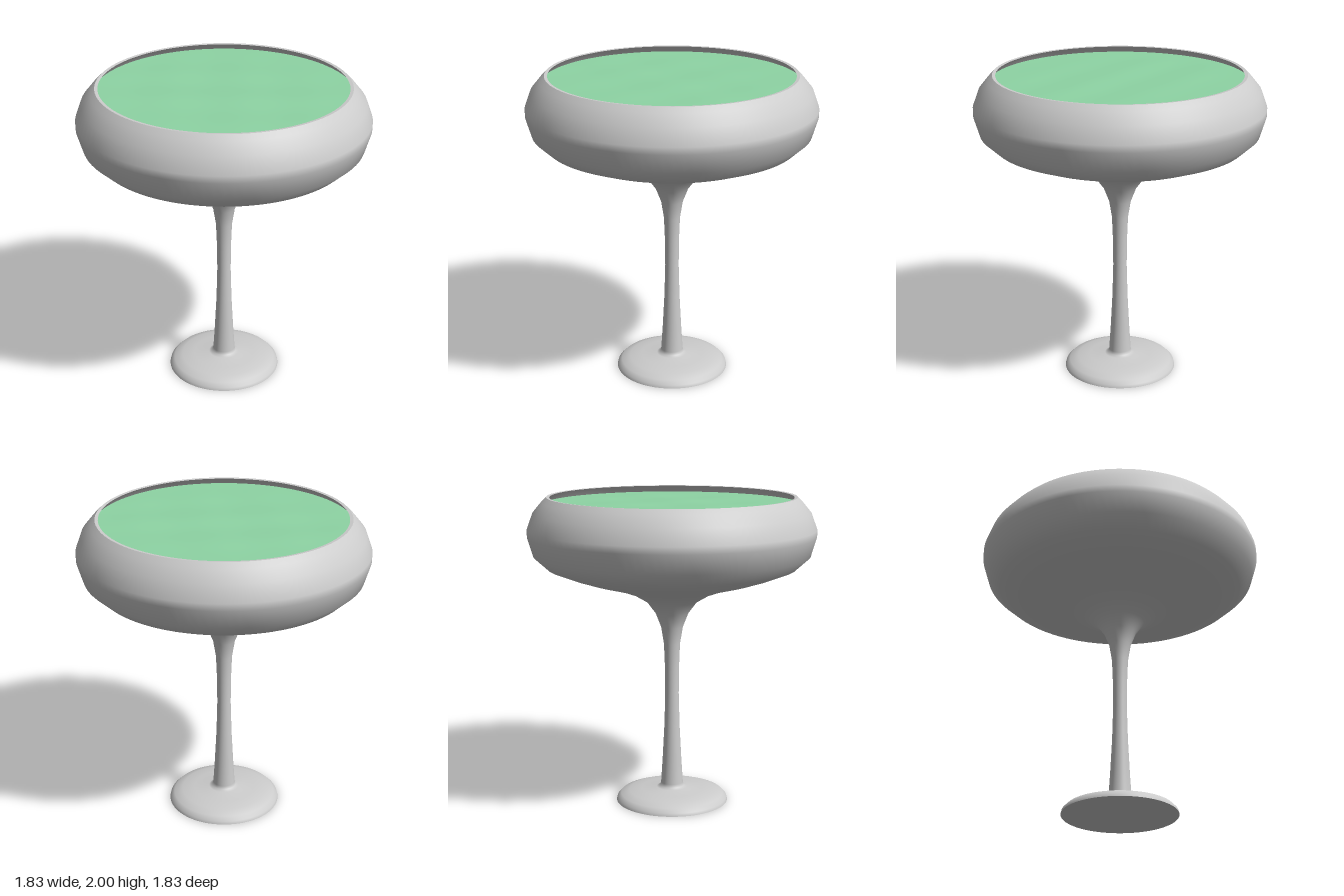
import * as THREE from 'three';

const SEGMENTS = 96;
const LIQUID_Y = 1.955;

const glassMaterial = new THREE.MeshStandardMaterial({ color: 0xcccccc });
glassMaterial.name = 'pale grey glass';
const liquidMaterial = new THREE.MeshStandardMaterial({ color: 0x8ed4a4 });
liquidMaterial.name = 'mint green drink';

// Turns a list of [radius, height] pairs around the y axis
function lathe(name, profile) {
  const points = profile.map(([r, y]) => new THREE.Vector2(r, y));
  const mesh = new THREE.Mesh(new THREE.LatheGeometry(points, SEGMENTS), glassMaterial);
  mesh.name = name;
  return mesh;
}

// Drink surface: a disc of rings with gentle ripples that fade at the wall
function createLiquid() {
  const radius = 0.815;
  const geometry = new THREE.RingGeometry(0.0005, radius, SEGMENTS, 16);
  geometry.rotateX(-Math.PI / 2);
  const pos = geometry.attributes.position;
  for (let i = 0; i < pos.count; i++) {
    const x = pos.getX(i), z = pos.getZ(i);
    const fade = 1 - Math.pow(Math.hypot(x, z) / radius, 4);
    const ripple = Math.sin(9 * x + 3 * z) * Math.cos(8 * z - 4 * x) + 0.5 * Math.sin(15 * z + 5 * x);
    pos.setY(i, LIQUID_Y + 0.003 * fade * ripple);
  }
  geometry.computeVertexNormals();
  const mesh = new THREE.Mesh(geometry, liquidMaterial);
  mesh.name = 'liquid';
  return mesh;
}

export function createModel() {
  const group = new THREE.Group();
  group.name = 'coupeGlass';

  // Foot, stem and outer bowl flow into one another
  group.add(lathe('footStemAndBowl', [
    [0.365, 0], [0.36, 0.02], [0.335, 0.045], [0.28, 0.065], [0.2, 0.076], [0.1, 0.085],
    [0.078, 0.094], [0.072, 0.115], [0.062, 0.27], [0.05, 0.5], [0.044, 0.72], [0.046, 0.9],
    [0.052, 1.05], [0.07, 1.16], [0.105, 1.25], [0.16, 1.325], [0.25, 1.378], [0.36, 1.418],
    [0.54, 1.465], [0.66, 1.503], [0.793, 1.555], [0.878, 1.632], [0.915, 1.755],
    [0.915, 1.8], [0.878, 1.9], [0.82, 1.97], [0.79, 2],
  ]));

  // Thin lip across the top of the wall
  group.add(lathe('rim', [[0.79, 2], [0.77, 1.998]]));

  // Inner wall, down to the bottom of the bowl
  group.add(lathe('innerBowl', [
    [0.77, 1.998], [0.8, 1.97], [0.853, 1.89], [0.89, 1.8], [0.89, 1.755],
    [0.855, 1.645], [0.78, 1.577], [0.65, 1.528], [0.36, 1.442], [0.15, 1.4], [0, 1.39],
  ]));

  // Flat underside of the foot
  const underside = new THREE.Mesh(new THREE.CircleGeometry(0.365, SEGMENTS), glassMaterial);
  underside.name = 'footUnderside';
  underside.rotation.x = Math.PI / 2;
  group.add(underside);

  group.add(createLiquid());
  return group;
}
